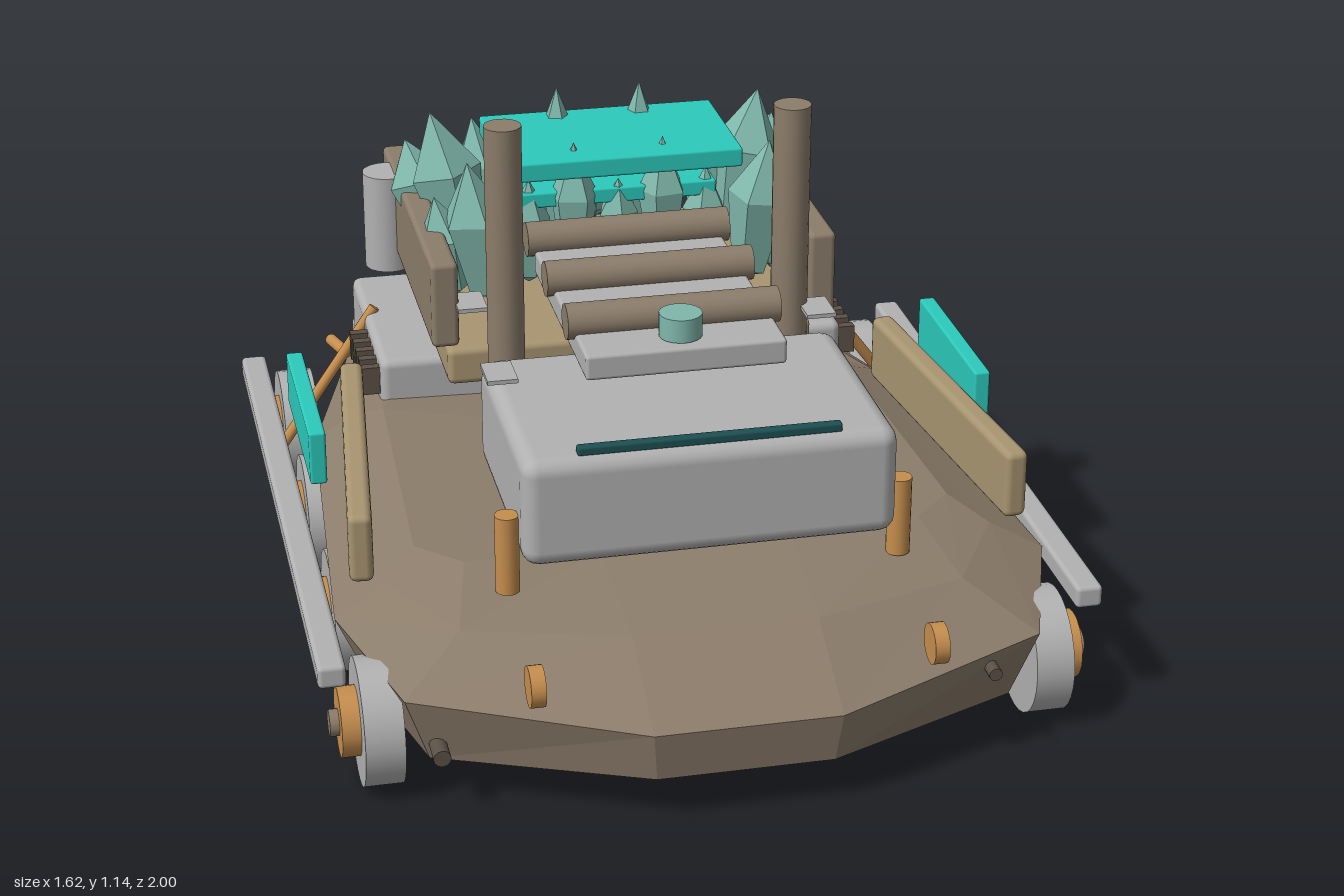
import * as THREE from 'three';
import { RoundedBoxGeometry } from 'three/addons/geometries/RoundedBoxGeometry.js';

const material = (name, color) => {
  const m = new THREE.MeshStandardMaterial({ color });
  m.name = name;
  return m;
};

export function createModel() {
  const root = new THREE.Group();
  root.name = 'crystalHauler';
  const taupe = material('taupe hull', 0x8c7d6b);
  const tan = material('tan panel', 0xa89571);
  const grey = material('light grey metal', 0xb2b2b2);
  const copper = material('copper', 0xc68e4e);
  const teal = material('bright teal', 0x2ccabb);
  const crystal = material('pale teal crystal', 0x80b8ac);
  const glass = material('dark teal glass', 0x1d5052);
  const dark = material('dark brown', 0x5c5146);

  const add = (name, geometry, mat, x = 0, y = 0, z = 0) => {
    const mesh = new THREE.Mesh(geometry, mat);
    mesh.name = name;
    mesh.position.set(x, y, z);
    root.add(mesh);
    return mesh;
  };
  // Box given by its extents on each axis
  const box = (name, mat, [x0, x1], [y0, y1], [z0, z1], r = 0.01) => {
    const s = [x1 - x0, y1 - y0, z1 - z0].map(Math.abs);
    const g = r ? new RoundedBoxGeometry(...s, 2, r) : new THREE.BoxGeometry(...s);
    return add(name, g, mat, (x0 + x1) / 2, (y0 + y1) / 2, (z0 + z1) / 2);
  };
  // Cylinder centred at a point, along the chosen axis
  const rod = (name, mat, r, length, x, y, z, axis = 'y', sides = 20) => {
    const g = new THREE.CylinderGeometry(r, r, length, sides);
    if (axis === 'x') g.rotateZ(Math.PI / 2);
    if (axis === 'z') g.rotateX(Math.PI / 2);
    return add(name, g, mat, x, y, z);
  };

  // Hull: mirrored half outlines [x, y, z], stacked from belly to deck
  const halves = [
    [[0.18, 0.1, 0.98], [0.6, 0.09, 0.79], [0.66, 0.08, 0.53], [0.62, 0.08, -0.3], [0.5, 0.09, -0.8], [0.27, 0.14, -0.97]],
    [[0.19, 0.21, 1], [0.65, 0.24, 0.82], [0.75, 0.28, 0.53], [0.69, 0.28, -0.3], [0.55, 0.25, -0.82], [0.3, 0.21, -1]],
    [[0.19, 0.32, 0.8], [0.52, 0.32, 0.7], [0.64, 0.335, 0.5], [0.61, 0.335, -0.3], [0.48, 0.3, -0.78], [0.27, 0.29, -0.85]],
    [[0.2, 0.37, 0.52], [0.48, 0.37, 0.51], [0.57, 0.37, 0.42], [0.54, 0.37, -0.25], [0.4, 0.35, -0.55], [0.25, 0.35, -0.6]],
  ];
  const rings = halves.map(h => [...h, ...h.slice().reverse().map(([x, y, z]) => [-x, y, z])]);
  const n = rings[0].length;
  const tris = [];
  for (let r = 0; r < rings.length - 1; r++) {
    for (let i = 0; i < n; i++) {
      const j = (i + 1) % n, a = rings[r], b = rings[r + 1];
      tris.push(a[i], a[j], b[j], a[i], b[j], b[i]);
    }
  }
  const belly = rings[0], deck = rings[3];
  for (let i = 0; i < n; i++) {
    const j = (i + 1) % n;
    tris.push([0, 0.37, 0], deck[i], deck[j], [0, 0.08, 0], belly[j], belly[i]);
  }
  const hull = new THREE.BufferGeometry();
  hull.setAttribute('position', new THREE.Float32BufferAttribute(tris.flat(), 3));
  hull.computeVertexNormals();
  add('hull', hull, taupe);

  // Front cabin, viewing slit and equipment on top
  box('cabin', grey, [-0.385, 0.385], [0.425, 0.66], [0.155, 0.68], 0.035);
  box('viewSlit', glass, [-0.27, 0.27], [0.655, 0.675], [0.635, 0.657], 0.005);
  box('roofTray', grey, [-0.21, 0.21], [0.715, 0.77], [-0.14, 0.44], 0.008);
  for (const z of [0.295, 0.065, -0.16]) rod('rollerBar', taupe, 0.038, 0.45, 0, 0.787, z, 'x');
  rod('roofKnob', crystal, 0.045, 0.05, 0, 0.797, 0.375);
  for (const [x, z] of [[-0.365, 0.3], [0.36, 0.11], [-0.365, -0.075]])
    box('smallTag', grey, [x - 0.032, x + 0.032], [0.682, 0.691], [z - 0.047, z + 0.047], 0);

  // Rear cargo deck and bumper
  box('cargoDeck', tan, [-0.41, 0.41], [0.475, 0.56], [-0.84, -0.11], 0.015);
  box('rearBumper', grey, [-0.52, 0.52], [0.275, 0.32], [-0.89, -0.835], 0.01);

  for (const s of [-1, 1]) {
    rod('mast', taupe, 0.04, 0.79, s * 0.31, 0.745, 0.067);
    box('cargoWall', taupe, [s * 0.39, s * 0.45], [0.59, 0.785], [-0.81, -0.06], 0.012);
    rod('canister', grey, 0.055, 0.23, s * 0.463, 0.665, -0.655);
    box('rearPod', grey, [s * 0.22, s * 0.535], [0.32, 0.46], [-0.81, -0.3], 0.02);
    box('bumperBracket', grey, [s * 0.47, s * 0.53], [0.21, 0.32], [-0.885, -0.8], 0.01);
    for (let i = 0; i < 5; i++)
      box('ventSlat', dark, [s * 0.53, s * 0.575], [0.37, 0.435], [-0.35 - i * 0.049, -0.327 - i * 0.049], 0);

    // Side armour slabs, teal panels and running boards
    const slab = box('sideArmour', tan, [s * 0.625, s * 0.675], [0.35, 0.5], [-0.235, 0.525], 0.015);
    slab.rotation.y = s * 0.106;
    box('tealPanel', teal, [s * 0.712, s * 0.748], [0.395, 0.515], [-0.275, 0.15], 0.006);
    box('runningBoard', grey, [s * 0.753, s * 0.81], [0.243, 0.292], [-0.77, 0.745], 0.01);

    // Copper posts, lamps and pins
    rod('frontPost', copper, 0.025, 0.17, s * 0.407, 0.435, 0.61);
    rod('headLamp', copper, 0.042, 0.03, s * 0.405, 0.295, 0.905, 'x');
    rod('tailLamp', copper, 0.022, 0.06, s * 0.375, 0.28, -0.9, 'z');
    const pin = rod('rearPin', copper, 0.014, 0.09, s * 0.573, 0.28, -0.81, 'z');
    pin.rotation.y = -s * 0.3;

    // Slanted strut from pod to wheel
    const top = new THREE.Vector3(s * 0.51, 0.47, s > 0 ? -0.54 : -0.59);
    const foot = new THREE.Vector3(s * 0.755, 0.14, s > 0 ? -0.6 : -0.545);
    const way = foot.clone().sub(top);
    const mid = top.clone().add(foot).multiplyScalar(0.5);
    const strut = rod('slantedStrut', copper, 0.013, way.length(), mid.x, mid.y, mid.z, 'y', 10);
    strut.quaternion.setFromUnitVectors(new THREE.Vector3(0, 1, 0), way.normalize());

    // Four wheels on each side
    for (const z of [0.69, 0.225, -0.24, -0.705]) {
      rod('tyre', grey, 0.132, 0.08, s * 0.69, 0.132, z, 'x', 28);
      rod('wheelHub', copper, 0.072, 0.06, s * 0.738, 0.135, z, 'x');
      rod('axleCap', taupe, 0.028, 0.06, s * 0.757, 0.135, z, 'x', 14);
    }
  }
  rod('noseBolt', dark, 0.018, 0.07, -0.585, 0.13, 0.83, 'z', 12);
  rod('noseBolt', dark, 0.014, 0.07, 0.535, 0.2, 0.86, 'z', 12);

  // Crystal cargo: [x, z, base, height, radius, lean in x, lean in z]
  const shards = [
    [0, -0.52, 0.68, 0.24, 0.05, 0, -0.2],
    [0, -0.27, 0.68, 0.2, 0.045, 0, 0.1],
  ];
  for (const s of [-1, 1]) {
    shards.push(
      [s * 0.31, -0.47, 0.63, 0.35, 0.085, s * 0.2, -0.1],
      [s * 0.37, -0.52, 0.66, 0.24, 0.075, s * 0.25, -0.2],
      [s * 0.25, -0.51, 0.66, 0.28, 0.06, s * 0.1, -0.15],
      [s * 0.3, -0.25, 0.62, 0.33, 0.075, s * 0.12, 0.05],
      [s * 0.36, -0.28, 0.62, 0.24, 0.06, s * 0.2, 0],
      [s * 0.095, -0.475, 0.66, 0.36, 0.055, 0, 0],
      [s * 0.13, -0.53, 0.66, 0.27, 0.06, s * 0.05, -0.2],
      [s * 0.1, -0.25, 0.66, 0.31, 0.055, 0, 0],
      [s * 0.2, -0.27, 0.64, 0.25, 0.05, 0, 0.05],
    );
  }
  shards.forEach(([x, z, y, h, r, lx, lz], i) => {
    const profile = [[0, 0], [r * 0.55, 0.02], [r, h * 0.6], [0, h]].map(p => new THREE.Vector2(...p));
    const g = new THREE.LatheGeometry(profile, 5, i * 1.3).toNonIndexed();
    g.computeVertexNormals();
    const shard = add('crystalShard', g, crystal, x, y, z);
    shard.rotation.set(lz, 0, -lx);
  });
  box('lowerCrystalPlate', teal, [-0.22, 0.22], [0.825, 0.86], [-0.43, -0.24], 0.005);
  box('upperCrystalPlate', teal, [-0.267, 0.267], [0.908, 0.952], [-0.51, -0.185], 0.006);

  return root;
}
